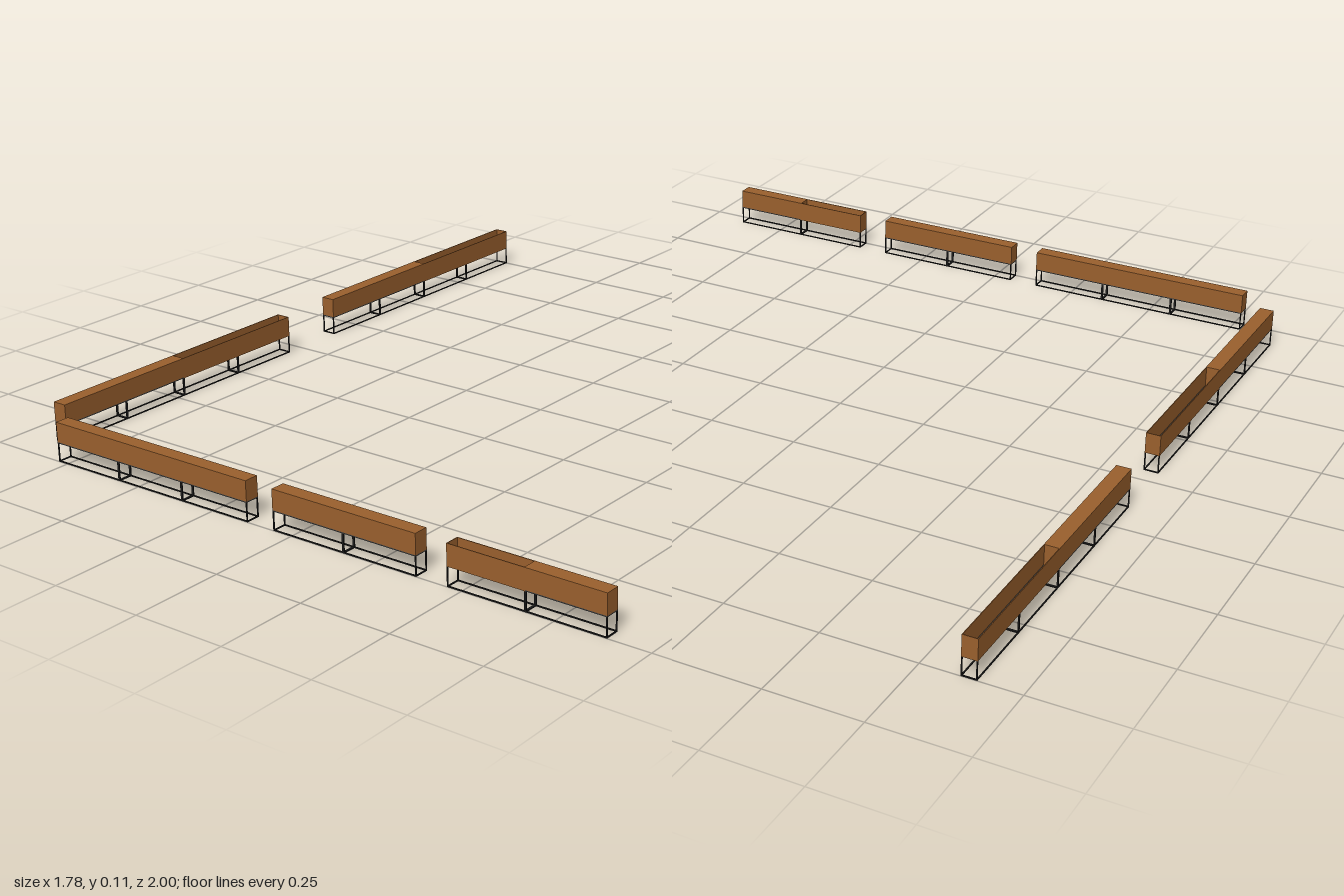
import * as THREE from 'three';

const MODULE = 0.214, DEPTH = 0.04, BASE = 0.05, TOP = 0.107;
const BAR = 0.003, WALL = 0.002, PLATE = 0.003;
const wood = new THREE.MeshStandardMaterial({ color: 0x9a602d });
const metal = new THREE.MeshStandardMaterial({ color: 0x1c1c1c });
const plate = new THREE.MeshStandardMaterial({ color: 0x404040 });

// Box given by its minimum and maximum corners
function block(parent, name, material, [x0, y0, z0], [x1, y1, z1]) {
  const mesh = new THREE.Mesh(new THREE.BoxGeometry(x1 - x0, y1 - y0, z1 - z0), material);
  mesh.position.set((x0 + x1) / 2, (y0 + y1) / 2, (z0 + z1) / 2);
  mesh.name = name;
  parent.add(mesh);
}

// Thin open metal frame under one module
function addFrame(parent, x0) {
  const frame = new THREE.Group();
  frame.name = 'frame';
  const x1 = x0 + MODULE, h = DEPTH / 2;
  for (const x of [x0, x1 - BAR]) {
    for (const z of [-h, h - BAR]) {
      block(frame, 'leg', metal, [x, 0, z], [x + BAR, BASE, z + BAR]);
    }
    block(frame, 'crossRail', metal, [x, 0, -h + BAR], [x + BAR, BAR, h - BAR]);
  }
  for (const z of [-h, h - BAR]) {
    block(frame, 'footRail', metal, [x0 + BAR, 0, z], [x1 - BAR, BAR, z + BAR]);
  }
  parent.add(frame);
}

// Open trough with thin wooden walls and a dark floor plate
function addPlanter(parent, x0, x1) {
  const planter = new THREE.Group();
  planter.name = 'planter';
  const h = DEPTH / 2;
  for (const z of [-h, h - WALL]) {
    block(planter, 'longWall', wood, [x0, BASE, z], [x1, TOP, z + WALL]);
  }
  for (const x of [x0, x1 - WALL]) {
    block(planter, 'endWall', wood, [x, BASE, -h + WALL], [x + WALL, TOP, h - WALL]);
  }
  block(planter, 'floor', plate, [x0 + WALL, BASE, -h + WALL], [x1 - WALL, BASE + PLATE, h - WALL]);
  parent.add(planter);
}

// A run of modules along +x from 0: planters first, then closed seats
function createRun(name, modules, planters) {
  const run = new THREE.Group();
  run.name = name;
  for (let i = 0; i < modules; i++) {
    const x0 = i * MODULE, x1 = x0 + MODULE, h = DEPTH / 2;
    addFrame(run, x0);
    if (i >= planters) {
      block(run, 'seat', wood, [x0, BASE + PLATE, -h], [x1, TOP, h]);
      block(run, 'seatBase', plate, [x0, BASE, -h], [x1, BASE + PLATE, h]);
    }
  }
  if (planters > 0) addPlanter(run, 0, planters * MODULE);
  return run;
}

export function createModel() {
  const model = new THREE.Group();
  model.name = 'modularBenches';

  // Front row, along x
  for (const [x, modules, planters] of [[-0.779, 3, 0], [-0.055, 2, 0], [0.46, 2, 1]]) {
    const run = createRun('frontBench', modules, planters);
    run.position.set(x, 0, 0.98);
    model.add(run);
  }

  // Side row, along z
  for (const z of [-1, 0.049]) {
    const run = createRun('sideBench', 4, 2);
    run.rotation.y = -Math.PI / 2;
    run.position.set(-0.87, 0, z);
    model.add(run);
  }
  return model;
}
